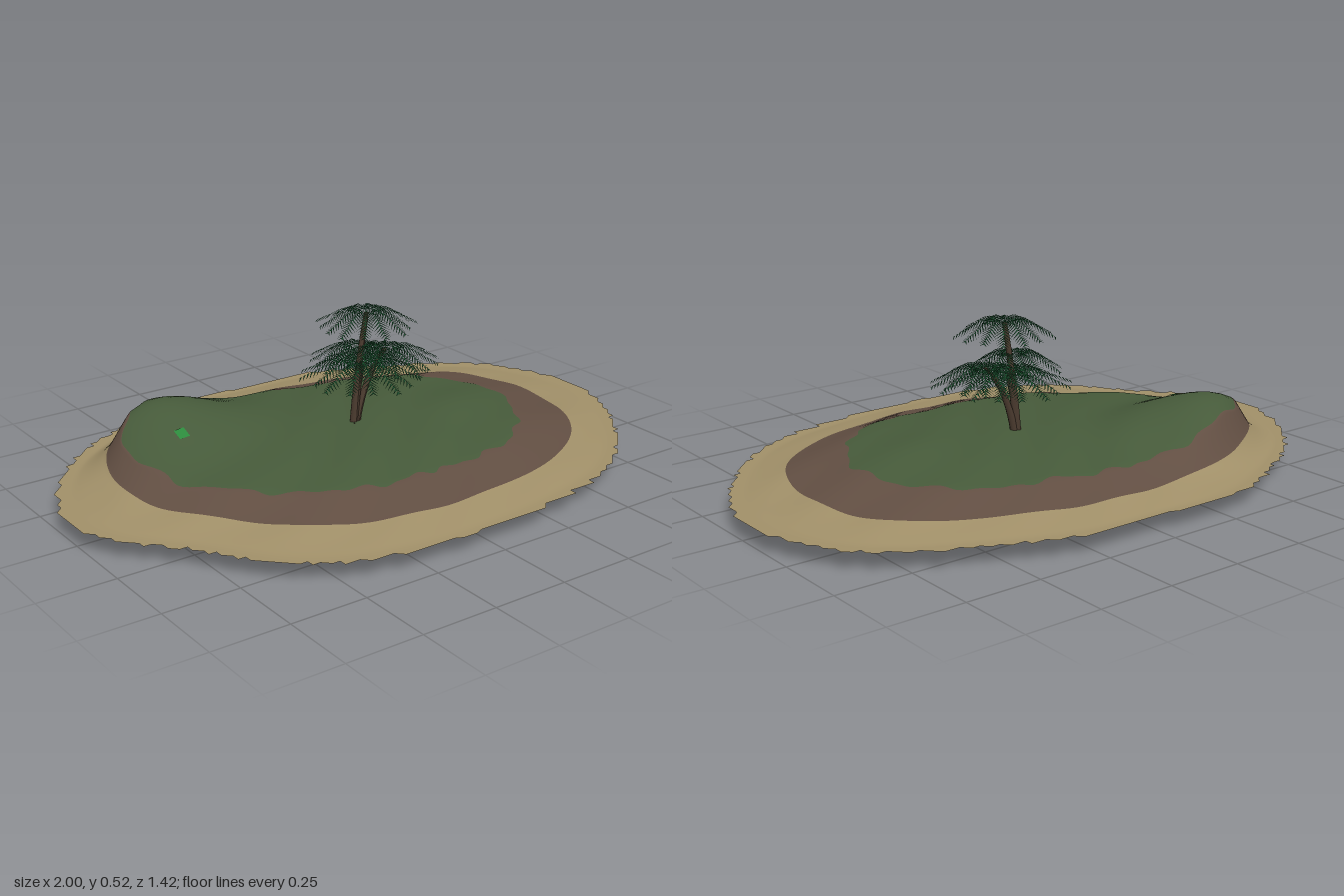
import * as THREE from 'three';

const mat = (name, color, side = THREE.DoubleSide) => {
  const m = new THREE.MeshStandardMaterial({ color, side });
  m.name = name;
  return m;
};

// Contour radii every 22.5 degrees, from +x towards +z
const SHORE = [1, .905, .82, .73, .71, .755, .83, .86, 1, .94, .83, .77, .71, .75, .82, .965];
const EARTH = [.78, .745, .65, .57, .55, .575, .63, .68, .78, .8, .71, .61, .57, .59, .65, .77];
const GRASS = [.6, .55, .5, .43, .4, .43, .48, .56, .68, .745, .64, .51, .46, .45, .52, .58];

// Smooth periodic interpolation of a contour
function radius(table, angle) {
  const n = table.length;
  const u = ((angle / (Math.PI * 2)) % 1 + 1) % 1 * n;
  const i = Math.floor(u), f = u - i;
  const [a, b, c, d] = [-1, 0, 1, 2].map(k => table[(i + k + n) % n]);
  return b + 0.5 * f * (c - a + f * (2 * a - 5 * b + 4 * c - d + f * (3 * (b - c) + d - a)));
}

const grassRadius = a => radius(GRASS, a) + 0.008 * Math.sin(a * 17) + 0.006 * Math.sin(a * 29);

// Ground height: stepped bands, one hill and gentle ripples
function heightAt(x, z) {
  const a = Math.atan2(z, x), r = Math.hypot(x, z);
  const rs = radius(SHORE, a), re = radius(EARTH, a), rg = radius(GRASS, a);
  const fade = THREE.MathUtils.smoothstep(rs * 0.96 - r, 0, 0.17);
  let y;
  if (r < rg) y = 0.127 + 0.025 * (1 - (r / rg) ** 2);
  else if (r < re) y = 0.127 - 0.043 * (r - rg) / (re - rg);
  else y = 0.06 + 0.024 * Math.max(0, 1 - (r - re) / (rs * 0.95 - re));
  const dx = x + 0.53, dz = z + 0.33;
  const sx = dx < 0 ? 0.15 : 0.19, sz = dz < 0 ? 0.14 : 0.15;
  y += 0.112 * fade * Math.exp(-(dx * dx) / (2 * sx * sx) - (dz * dz) / (2 * sz * sz));
  y += 0.012 * fade * Math.exp(-((x - 0.4) ** 2 + (z - 0.05) ** 2) / 0.03);
  return y + 0.003 * fade * Math.sin(14 * x + 22 * z + 2 * Math.sin(5 * x));
}

// Island shell: one polar grid, with a colour group for each band
function island(materials) {
  const segs = 240, bands = [20, 9, 12], pos = [], index = [];
  const geo = new THREE.BufferGeometry();
  const limits = [() => 0.002, grassRadius, a => radius(EARTH, a), a => radius(SHORE, a)];
  const total = bands[0] + bands[1] + bands[2];
  const snap = v => Math.round(v / 0.025) * 0.025;
  const addRing = (band, t, edge) => {
    for (let j = 0; j < segs; j++) {
      const a = j / segs * Math.PI * 2;
      const r = THREE.MathUtils.lerp(limits[band](a), limits[band + 1](a), t);
      let x = r * Math.cos(a), z = r * Math.sin(a);
      const y = edge ? 0.06 : heightAt(x, z);
      if (edge) {
        x = THREE.MathUtils.clamp(snap(x), -1, 1);
        z = THREE.MathUtils.clamp(snap(z), -0.712, 0.712);
      }
      pos.push(x, y, z);
    }
  };
  addRing(0, 0, false);
  let ring = 0;
  bands.forEach((count, band) => {
    const start = index.length;
    for (let k = 1; k <= count; k++, ring++) {
      addRing(band, k / count, ring + 1 === total);
      for (let j = 0; j < segs; j++) {
        const n = (j + 1) % segs, p = ring * segs, q = p + segs;
        index.push(p + j, p + n, q + j, p + n, q + n, q + j);
      }
    }
    geo.addGroup(start, index.length - start, band);
  });
  geo.setAttribute('position', new THREE.Float32BufferAttribute(pos, 3));
  geo.setIndex(index);
  geo.computeVertexNormals();
  const mesh = new THREE.Mesh(geo, materials);
  mesh.name = 'islandGround';
  return mesh;
}

// Tapered, curved palm trunk
function trunk(base, bend, top, r0, r1, material) {
  const curve = new THREE.QuadraticBezierCurve3(base, bend, top);
  const rows = 10, sides = 8;
  const geo = new THREE.CylinderGeometry(1, 1, 1, sides, rows);
  const p = geo.attributes.position;
  for (let i = 0; i < p.count; i++) {
    const t = p.getY(i) + 0.5, c = curve.getPoint(t), r = THREE.MathUtils.lerp(r0, r1, t);
    p.setXYZ(i, c.x + p.getX(i) * r, c.y, c.z + p.getZ(i) * r);
  }
  geo.computeVertexNormals();
  return new THREE.Mesh(geo, material);
}

// Crown of arching fronds, each a thin rib with pairs of narrow leaflets
function crown(reach, drop, fronds, material, turn) {
  const pos = [], steps = 17;
  for (let f = 0; f < fronds; f++) {
    const a = (f + turn) / fronds * Math.PI * 2;
    const len = reach * (0.93 + 0.07 * Math.sin(f * 2.3 + turn));
    const out = new THREE.Vector3(Math.cos(a), 0, Math.sin(a));
    const side = new THREE.Vector3(-out.z, 0, out.x);
    const rib = t => out.clone().multiplyScalar(len * t)
      .setY(0.012 * Math.sin(Math.PI * Math.min(1, t * 1.4)) - drop * t ** 2.6);
    const tri = (...pts) => pts.forEach(v => pos.push(v.x, v.y, v.z));
    for (let k = 0; k < steps; k++) {
      const t = k / steps, p = rib(t), q = rib((k + 1) / steps);
      const w = side.clone().multiplyScalar(0.0018);
      tri(p.clone().sub(w), p.clone().add(w), q);
      if (k < 2) continue;
      const size = 0.043 * Math.sin(Math.PI * (0.22 + 0.68 * t));
      const mid = p.clone().lerp(q, 0.55);
      for (const s of [1, -1]) {
        const tip = p.clone().addScaledVector(side, s * size * 0.75).addScaledVector(out, size * 0.5);
        tip.y -= size * (0.25 + 0.35 * t);
        if (s > 0) tri(p, tip, mid); else tri(p, mid, tip);
      }
    }
  }
  const geo = new THREE.BufferGeometry();
  geo.setAttribute('position', new THREE.Float32BufferAttribute(pos, 3));
  geo.computeVertexNormals();
  return new THREE.Mesh(geo, material);
}

export function createModel() {
  const model = new THREE.Group();
  model.name = 'palmIsland';
  const grass = mat('grass green', 0x465a3a), earth = mat('earth brown', 0x614e42);
  const sand = mat('sand', 0xa08f68), bark = mat('bark brown', 0x4a3a2e, THREE.FrontSide);
  const leaf = mat('palm green', 0x1c5430), moss = mat('bright green', 0x2c8a3c);
  const stone = mat('light grey', 0xcfcfcf, THREE.FrontSide);

  model.add(island([grass, earth, sand]));

  // Small bright patch on the hillside, on both faces of the shell
  for (const lift of [0.003, -0.003]) {
    const geo = new THREE.PlaneGeometry(0.035, 0.04, 3, 3).rotateX(-Math.PI / 2).translate(-0.55, 0, -0.155);
    const p = geo.attributes.position;
    for (let i = 0; i < p.count; i++) p.setY(i, heightAt(p.getX(i), p.getZ(i)) + lift);
    geo.computeVertexNormals();
    const patch = new THREE.Mesh(geo, moss);
    patch.name = 'mossPatch';
    model.add(patch);
  }

  // Cube under the centre
  const cube = new THREE.Mesh(new THREE.BoxGeometry(0.113, 0.113, 0.113), stone);
  cube.name = 'baseCube';
  cube.position.y = 0.0565;
  model.add(cube);

  // Palm clump: trunks leaning from one foot
  const palm = new THREE.Group();
  palm.name = 'palmClump';
  const v = (x, y) => new THREE.Vector3(x, y, -0.02);
  const trunks = [
    [v(0.012, 0.14), v(0.025, 0.33), v(0.062, 0.512), 0.014, 0.008],
    [v(0.022, 0.14), v(0.05, 0.29), v(0.135, 0.375), 0.013, 0.008],
    [v(0.016, 0.14), v(0.02, 0.25), v(0.05, 0.345), 0.012, 0.008],
  ];
  trunks.forEach(t => {
    const mesh = trunk(...t, bark);
    mesh.name = 'palmTrunk';
    palm.add(mesh);
  });

  // Crowns: x, y, reach, drop, fronds
  const crowns = [
    [0.062, 0.515, 0.17, 0.045, 14],
    [0.025, 0.402, 0.165, 0.045, 14],
    [0.14, 0.372, 0.185, 0.045, 15],
    [0.045, 0.348, 0.215, 0.045, 16],
  ];
  crowns.forEach(([x, y, reach, drop, fronds], i) => {
    const mesh = crown(reach, drop, fronds, leaf, i * 0.37);
    mesh.name = 'palmCrown';
    mesh.position.set(x, y, -0.02);
    palm.add(mesh);
  });
  model.add(palm);
  return model;
}
